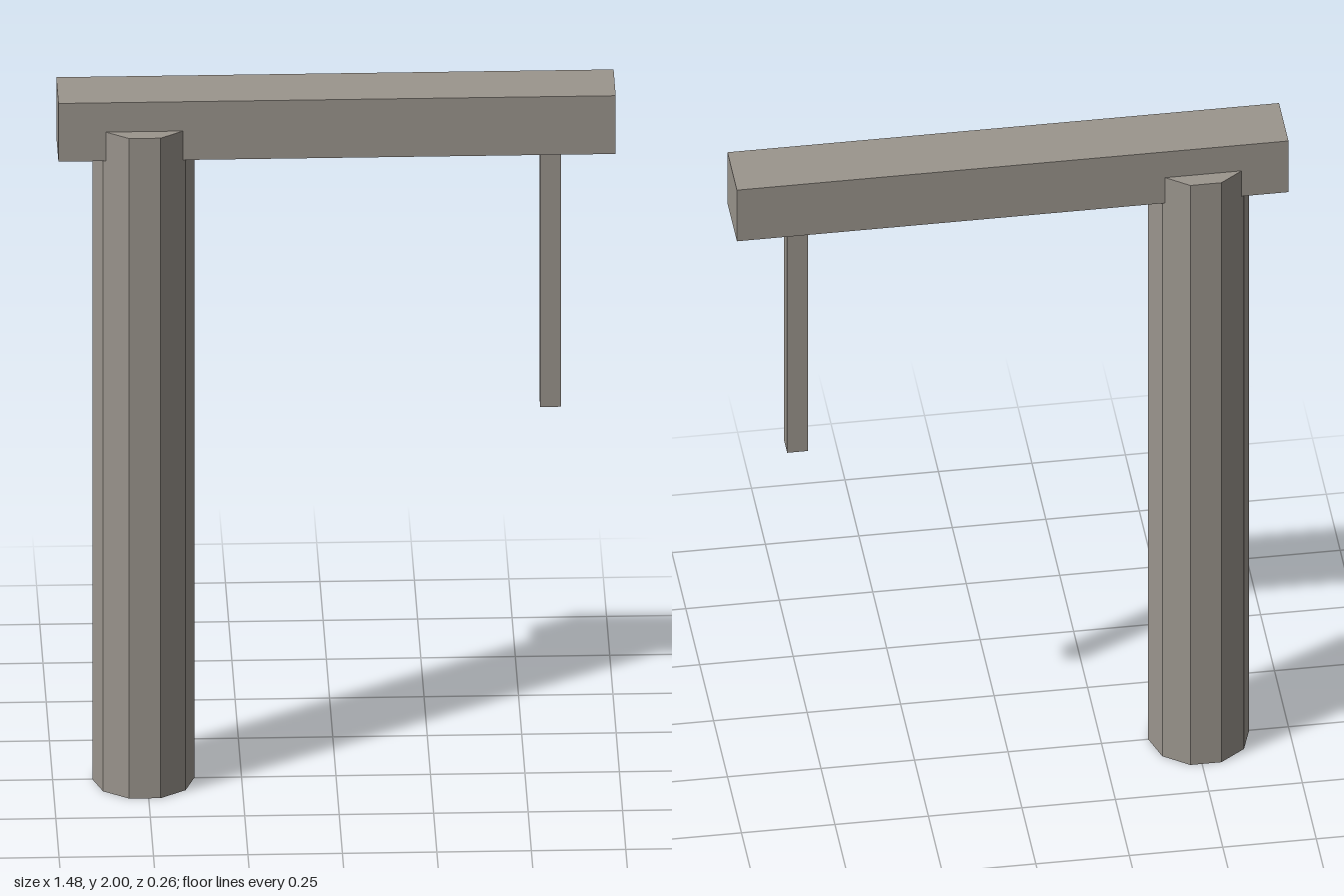
import * as THREE from 'three';

export function createModel() {
  const group = new THREE.Group();
  const stone = new THREE.MeshStandardMaterial({ color: 0x9b958d, flatShading: true });
  stone.name = 'warm grey';

  const add = (name, geometry, x, y, z = 0) => {
    const mesh = new THREE.Mesh(geometry, stone);
    mesh.name = name;
    mesh.position.set(x, y, z);
    group.add(mesh);
    return mesh;
  };

  // Ten-sided pillar, with corners pointing along the beam
  const pillarHeight = 1.915;
  const pillar = add('pillar', new THREE.CylinderGeometry(0.135, 0.135, pillarHeight, 10), -0.51, pillarHeight / 2);
  pillar.rotation.y = Math.PI / 10;

  // Horizontal beam across the top, sunk over the pillar
  add('beam', new THREE.BoxGeometry(1.475, 0.169, 0.169), 0, 1.9155);

  // Thin square bar hanging below the far end, its top meeting the beam
  const barTop = 1.84, barBottom = 1.074;
  add('hangingBar', new THREE.BoxGeometry(0.055, barTop - barBottom, 0.055), 0.567, (barTop + barBottom) / 2);

  return group;
}
